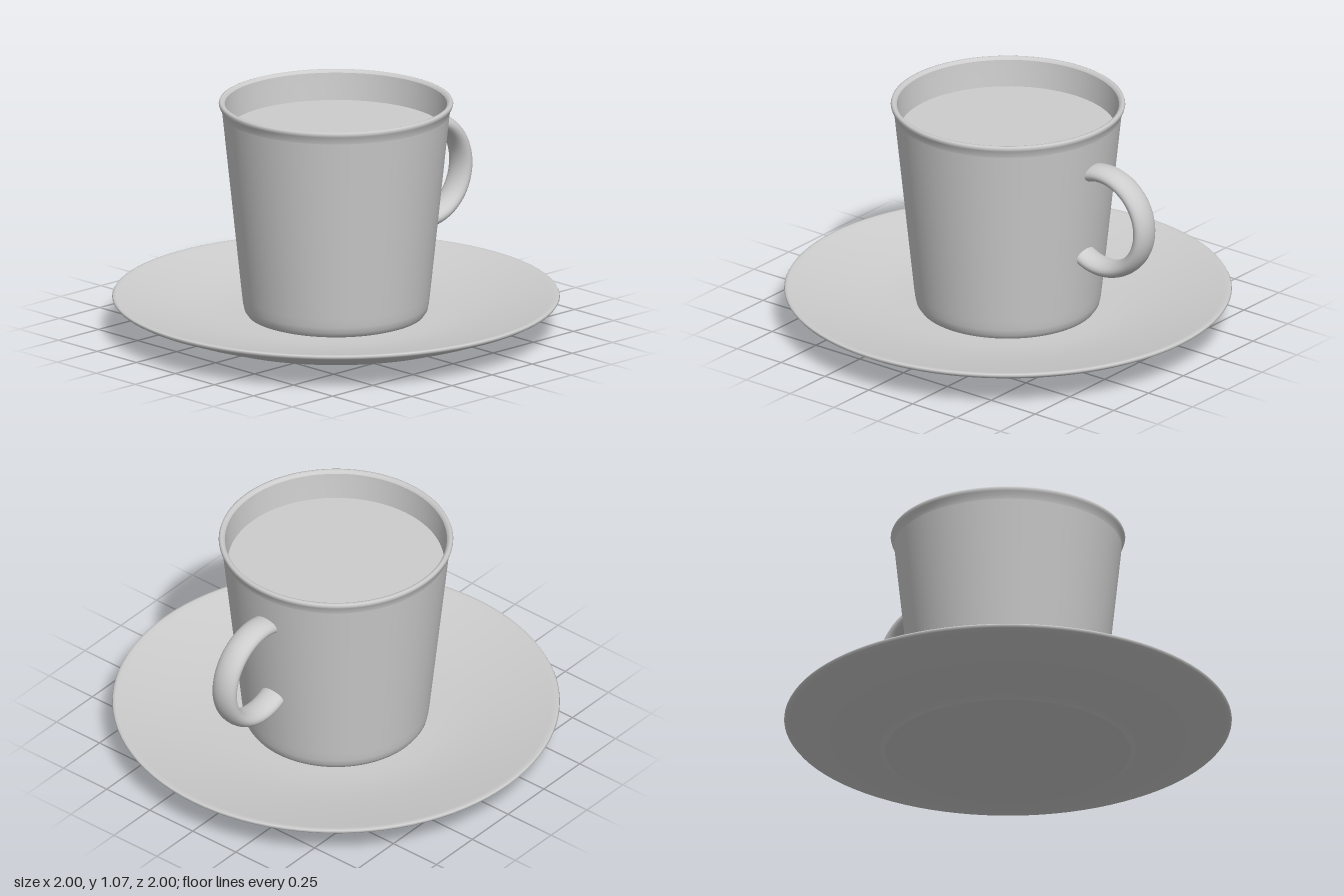
import * as THREE from 'three';

const ceramic = new THREE.MeshStandardMaterial({ color: 0xcccccc });
ceramic.name = 'pale grey ceramic';

// Each profile run is smooth; separate runs meet at a sharp edge.
function turned(name, ...runs) {
  const part = new THREE.Group();
  part.name = name;
  runs.forEach((run, i) => {
    const points = run.map(([r, y]) => new THREE.Vector2(r, y));
    const mesh = new THREE.Mesh(new THREE.LatheGeometry(points, 96), ceramic);
    mesh.name = `${name}Surface${i + 1}`;
    part.add(mesh);
  });
  return part;
}

export function createModel() {
  const model = new THREE.Group();
  model.name = 'cupAndSaucer';

  // Saucer: flat foot, flared underside, rounded rim, shallow dish
  model.add(turned('saucer',
    [[0, 0], [0.55, 0]],
    [[0.55, 0], [0.58, 0.018], [0.7, 0.04], [0.84, 0.088], [0.97, 0.137], [0.993, 0.15],
      [1, 0.159], [0.996, 0.166], [0.985, 0.168], [0.965, 0.163], [0.85, 0.135],
      [0.7, 0.104], [0.58, 0.084], [0.48, 0.075], [0.38, 0.073], [0, 0.073]],
  ));

  // Cup: rounded base, tapered wall, flared lip
  model.add(turned('cup',
    [[0, 0.074], [0.37, 0.074]],
    [[0.37, 0.074], [0.395, 0.083], [0.409, 0.103], [0.415, 0.13], [0.42, 0.17],
      [0.465, 0.6], [0.508, 1.01]],
    [[0.508, 1.01], [0.512, 1.03], [0.521, 1.045], [0.524, 1.056], [0.521, 1.065], [0.513, 1.068],
      [0.503, 1.065], [0.496, 1.055]],
    [[0.496, 1.055], [0.493, 1.02], [0.482, 0.92]],
  ));

  // Drink surface
  model.add(turned('drink', [[0.484, 0.932], [0, 0.932]]));

  // Handle: open ring with an oval section, its ends buried in the wall
  const start = THREE.MathUtils.degToRad(-124);
  const arc = THREE.MathUtils.degToRad(236);
  const ring = new THREE.TorusGeometry(0.227, 0.038, 24, 72, arc);
  ring.rotateZ(start);
  ring.scale(1, 1, 1.68);
  const handle = new THREE.Mesh(ring, ceramic);
  handle.name = 'handle';
  handle.position.set(0.55, 0.635, 0);
  model.add(handle);

  return model;
}
